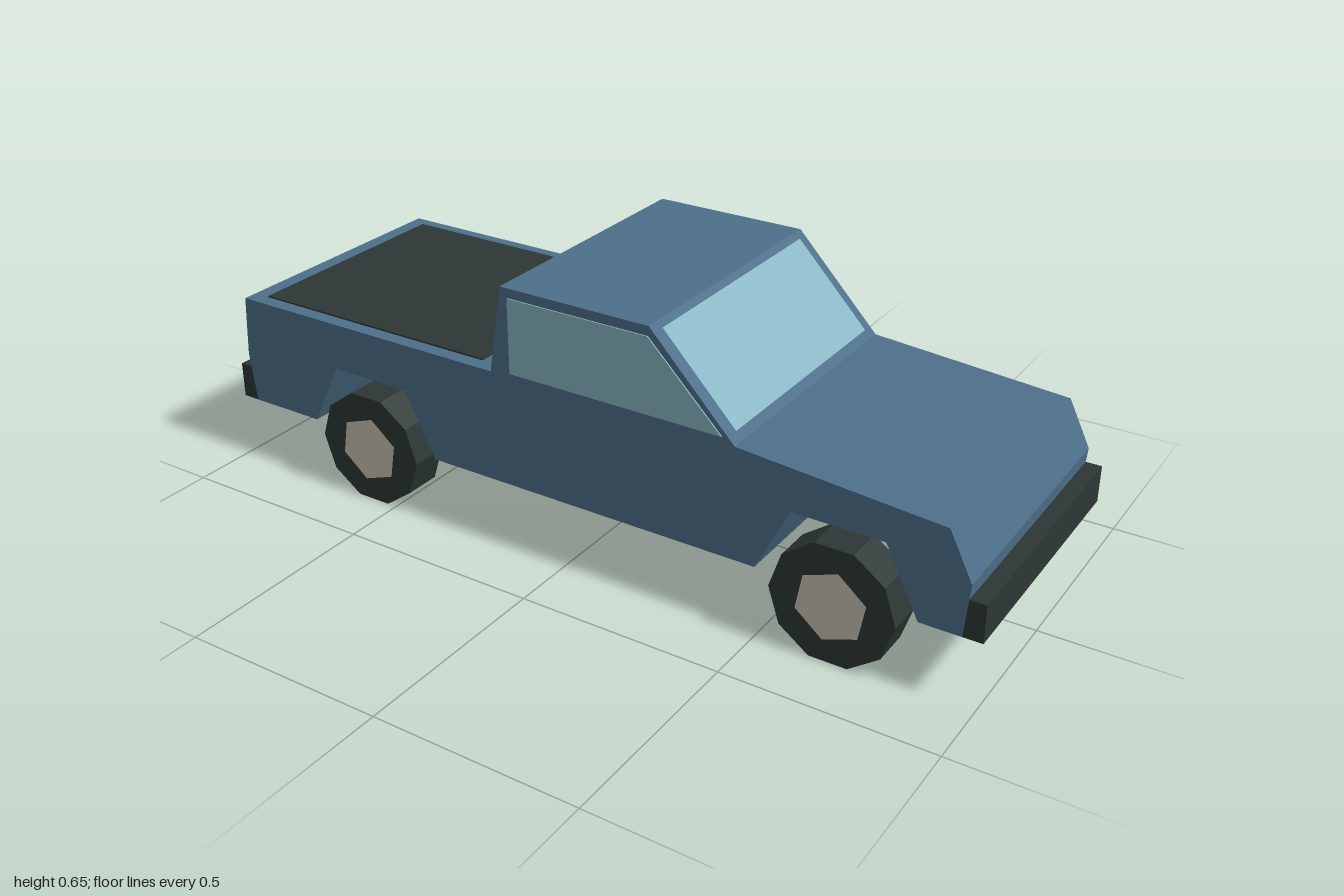
import * as THREE from 'three';

const paint = new THREE.MeshStandardMaterial({ name: 'blue paint', color: 0x4d6f89, flatShading: true });
const glass = new THREE.MeshStandardMaterial({ name: 'pale glass', color: 0x8ab7c4, flatShading: true, side: THREE.DoubleSide });
const dark = new THREE.MeshStandardMaterial({ name: 'dark rubber', color: 0x2d3735, flatShading: true });
const hubcap = new THREE.MeshStandardMaterial({ name: 'hub beige', color: 0xc8c4b5, flatShading: true });

const HALF = 0.33; // half width of the body

function add(parent, name, geometry, material, x = 0, y = 0, z = 0) {
  const mesh = new THREE.Mesh(geometry, material);
  mesh.name = name;
  mesh.position.set(x, y, z);
  parent.add(mesh);
  return mesh;
}

// Extrude an (x, y) outline along z, centred on z = 0
function slab(points, depth) {
  const shape = new THREE.Shape(points.map(([x, y]) => new THREE.Vector2(x, y)));
  const geometry = new THREE.ExtrudeGeometry(shape, { depth, bevelEnabled: false });
  return geometry.translate(0, 0, -depth / 2);
}

// Flat pane across the cab, between a lower and an upper profile point
function pane([x0, y0], [x1, y1], half) {
  const geometry = new THREE.BufferGeometry();
  geometry.setAttribute('position', new THREE.Float32BufferAttribute(
    [x0, y0, half, x0, y0, -half, x1, y1, -half, x1, y1, half], 3));
  geometry.setIndex([0, 1, 2, 0, 2, 3]);
  geometry.computeVertexNormals();
  return geometry;
}

// Low-poly tyre with a hexagonal hub on its outer (+z) face
function makeWheel(name) {
  const wheel = new THREE.Group();
  wheel.name = name;
  const tyre = new THREE.CylinderGeometry(0.146, 0.146, 0.094, 10);
  tyre.rotateY(Math.PI / 2).rotateX(Math.PI / 2);
  add(wheel, 'tyre', tyre, dark);
  const hub = new THREE.CircleGeometry(0.086, 6);
  hub.rotateZ(THREE.MathUtils.degToRad(20));
  add(wheel, 'hub', hub, hubcap, 0, 0, 0.05);
  return wheel;
}

export function createModel() {
  const truck = new THREE.Group();
  truck.name = 'pickupTruck';

  // Body and cab in one profile, with wheel arches cut right across
  add(truck, 'body', slab([
    [-0.955, 0.16], [-0.755, 0.16], [-0.675, 0.32], [-0.46, 0.32], [-0.38, 0.16],
    [0.485, 0.16], [0.565, 0.32], [0.78, 0.32], [0.86, 0.16], [0.955, 0.16],
    [0.965, 0.285], [0.91, 0.395], [0.43, 0.432], [0.22, 0.652],
    [-0.165, 0.652], [-0.2, 0.438], [-0.96, 0.438], [-0.97, 0.285],
  ], HALF * 2), paint);

  // Load bed cover
  add(truck, 'bedFloor', new THREE.BoxGeometry(0.665, 0.006, 0.59), dark, -0.583, 0.439, 0);

  // Bumpers
  for (const side of [-1, 1]) {
    add(truck, side > 0 ? 'frontBumper' : 'rearBumper',
      new THREE.BoxGeometry(0.05, 0.09, HALF * 2 - 0.001), dark, side * 0.975, 0.205, 0);
  }

  // Windows
  const sideWindow = [[-0.145, 0.447], [0.4, 0.447], [0.218, 0.629], [-0.145, 0.629]];
  for (const side of [-1, 1]) {
    add(truck, side > 0 ? 'sideWindowNear' : 'sideWindowFar', slab(sideWindow, 0.004), glass, 0, 0, side * (HALF + 0.001));
  }
  add(truck, 'windshield', pane([0.416, 0.451], [0.235, 0.641], 0.3), glass);
  add(truck, 'rearWindow', pane([-0.202, 0.458], [-0.178, 0.628], 0.27), glass);

  // Wheels, turned round on the far side
  for (const [end, x] of [['rear', -0.57], ['front', 0.675]]) {
    for (const side of [-1, 1]) {
      const wheel = makeWheel(end + 'Wheel');
      wheel.position.set(x, 0.139, side * 0.3);
      if (side < 0) wheel.rotation.y = Math.PI;
      truck.add(wheel);
    }
  }
  return truck;
}
